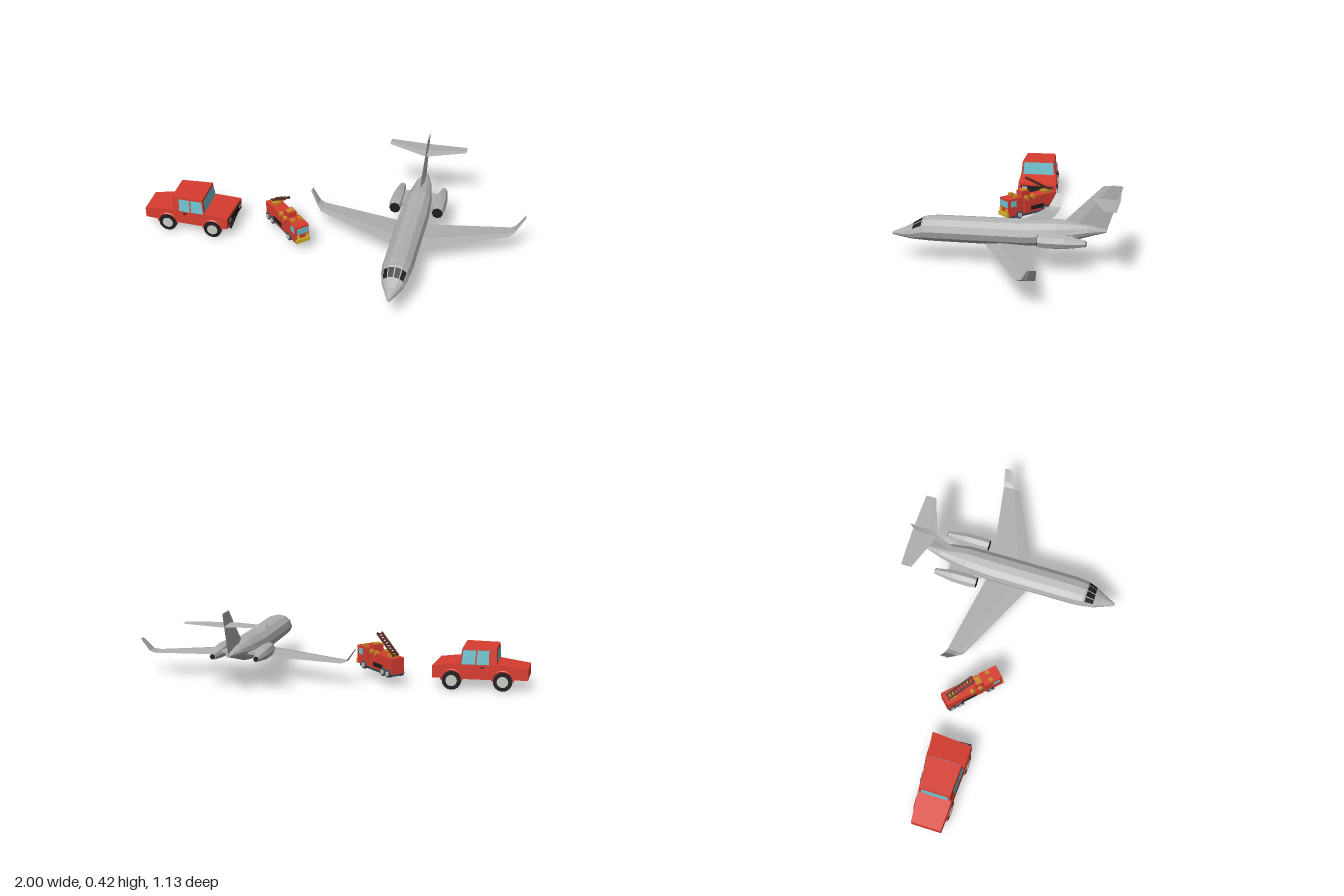
import * as THREE from 'three';

const mat = (name, color, extra = {}) => {
  const m = new THREE.MeshStandardMaterial({ color, flatShading: true, side: THREE.DoubleSide, ...extra });
  m.name = name;
  return m;
};
const V = (x, y, z) => new THREE.Vector3(x, y, z);

export function createModel() {
  const grey = mat('jet grey', 0xb0b0b0), red = mat('red paint', 0xd83c2f), black = mat('black', 0x1c1c1c);
  const glass = mat('teal glass', 0x6fc3d0), hub = mat('hub grey', 0xc8c8c4), orange = mat('orange', 0xc98a22);
  const brown = mat('ladder brown', 0x5c3226), slate = mat('slate tyre', 0x424c58), yellow = mat('yellow', 0xd8b52c);

  const add = (parent, name, geo, material, x = 0, y = 0, z = 0) => {
    const m = new THREE.Mesh(geo, material);
    m.name = name;
    m.position.set(x, y, z);
    parent.add(m);
    return m;
  };
  const group = (parent, name) => {
    const g = new THREE.Group();
    g.name = name;
    parent.add(g);
    return g;
  };
  const box = (parent, name, m, w, h, d, x, y, z) => add(parent, name, new THREE.BoxGeometry(w, h, d), m, x, y, z);

  // Skin a list of rings, cap both ends, and turn the faces outward
  const loft = (rings) => {
    const tris = [], n = rings[0].length;
    for (let i = 0; i < rings.length - 1; i++) {
      for (let j = 0; j < n; j++) {
        const k = (j + 1) % n, a = rings[i][j], b = rings[i][k], c = rings[i + 1][k], d = rings[i + 1][j];
        tris.push([a, b, c], [a, c, d]);
      }
    }
    const first = rings[0], last = rings[rings.length - 1];
    for (let j = 1; j < n - 1; j++) tris.push([first[0], first[j + 1], first[j]], [last[0], last[j], last[j + 1]]);
    const o = first[0];
    const volume = tris.reduce((s, [a, b, c]) =>
      s + a.clone().sub(o).dot(b.clone().sub(o).cross(c.clone().sub(o))), 0);
    const pts = tris.flatMap(([a, b, c]) => (volume > 0 ? [a, b, c] : [a, c, b]));
    const g = new THREE.BufferGeometry().setFromPoints(pts);
    g.computeVertexNormals();
    return g;
  };
  // Thin plate on part of a four-cornered face (corners counter-clockwise from outside)
  const pane = (parent, name, m, [a, b, c, d], u0, u1, v0, v1, lift = 0.003) => {
    const n = b.clone().sub(a).cross(d.clone().sub(a)).normalize().multiplyScalar(lift);
    const at = (u, v) => a.clone().lerp(b, u).lerp(d.clone().lerp(c, u), v).add(n);
    const p = [at(u0, v0), at(u1, v0), at(u1, v1), at(u0, v1)];
    const g = new THREE.BufferGeometry().setFromPoints([p[0], p[1], p[2], p[0], p[2], p[3]]);
    g.computeVertexNormals();
    return add(parent, name, g, m);
  };

  const root = new THREE.Group();
  root.name = 'jet, fire truck and car';

  // ---- Business jet ----
  const jet = group(root, 'jet');
  jet.position.x = 0.425;
  const oval = (z, bottom, top, rx, n = 12) => Array.from({ length: n }, (_, i) => {
    const t = (i / n) * Math.PI * 2;
    return V(Math.cos(t) * rx, (bottom + top) / 2 + Math.sin(t) * (top - bottom) / 2, z);
  });
  const sections = [
    [0.565, 0.13, 0.144, 0.007], [0.5, 0.12, 0.17, 0.037], [0.46, 0.115, 0.192, 0.056], [0.4, 0.111, 0.23, 0.07],
    [0.34, 0.109, 0.237, 0.076], [-0.1, 0.105, 0.237, 0.077], [-0.25, 0.12, 0.243, 0.07],
    [-0.4, 0.165, 0.228, 0.042], [-0.49, 0.19, 0.205, 0.012],
  ].map((s) => oval(...s));
  add(jet, 'fuselage', loft(sections), grey);
  for (let k = 1; k < 5; k++) {
    const f = sections[2], b = sections[3];
    pane(jet, 'cockpitWindow', black, [f[k], b[k], b[k + 1], f[k + 1]].reverse(), 0.08, 0.92, 0.1, 0.9, 0.002);
    pane(jet, 'cockpitWindow', black, [f[k + 1], f[k], b[k], b[k + 1]], 0.08, 0.92, 0.1, 0.85, 0.002);
  }

  // Aerofoil station: lead and trail are z, thickness is along (tx, ty)
  const foil = (x, y, lead, trail, t, tx = 0, ty = 1) => {
    const mid = lead + (trail - lead) * 0.35;
    return [V(x, y, lead), V(x + tx * t, y + ty * t, mid), V(x, y, trail), V(x - tx * t, y - ty * t, mid)];
  };
  for (const s of [-1, 1]) {
    add(jet, 'wing', loft([
      foil(0, 0.118, 0.115, -0.12, 0.012), foil(s * 0.08, 0.118, 0.082, -0.137, 0.01),
      foil(s * 0.5, 0.121, -0.115, -0.206, 0.005),
    ]), grey);
    add(jet, 'winglet', loft([
      foil(s * 0.5, 0.121, -0.115, -0.206, 0.005), foil(s * 0.526, 0.133, -0.148, -0.213, 0.004, -s * 0.7, 0.7),
      foil(s * 0.57, 0.196, -0.183, -0.222, 0.003, -s, 0.3),
    ]), grey);
    add(jet, 'tailplane', loft([
      foil(0, 0.353, -0.42, -0.555, 0.007), foil(s * 0.207, 0.361, -0.492, -0.548, 0.003),
    ]), grey);
    // Engine with dark intake and exhaust
    const engine = group(jet, 'engine');
    engine.position.x = s * 0.113;
    add(engine, 'nacelle', loft([
      oval(-0.17, 0.14, 0.204, 0.031, 8), oval(-0.21, 0.134, 0.208, 0.036, 8),
      oval(-0.3, 0.136, 0.204, 0.034, 8), oval(-0.4, 0.15, 0.184, 0.017, 8),
    ]), grey);
    add(engine, 'intake', loft([oval(-0.168, 0.142, 0.202, 0.029, 8), oval(-0.172, 0.142, 0.202, 0.029, 8)]), black);
    add(engine, 'exhaust', loft([oval(-0.399, 0.154, 0.18, 0.013, 8), oval(-0.402, 0.154, 0.18, 0.013, 8)]), black);
    box(jet, 'enginePylon', grey, 0.06, 0.012, 0.13, s * 0.07, 0.178, -0.27);
  }
  const finRow = (y, lead, trail, t) => foil(0, y, lead, trail, t, 1, 0);
  add(jet, 'tailFin', loft([finRow(0.195, -0.24, -0.49, 0.012), finRow(0.243, -0.29, -0.505, 0.009),
    finRow(0.422, -0.47, -0.565, 0.004)]), grey);

  // Wheel with its axle along z
  const wheel = (parent, r, w, x, y, z, tyre) => {
    const g = group(parent, 'wheel');
    g.position.set(x, y, z);
    add(g, 'tyre', new THREE.CylinderGeometry(r, r, w, 16).rotateX(Math.PI / 2), tyre);
    add(g, 'hubcap', new THREE.CylinderGeometry(r * 0.6, r * 0.6, w + 0.006, 12).rotateX(Math.PI / 2), hub);
  };

  // ---- Red car, nose towards +x, slightly tapered to the rear ----
  const car = group(root, 'car');
  const slab = (x, z0, z1, y0, y1, skew = 0) => [
    V(x + skew, y0, z0), V(x, y0, z1), V(x, y1, z1), V(x + skew, y1, z0)];
  const carRings = [
    slab(-1, -0.095, 0.062, 0.06, 0.115), slab(-0.843, -0.108, 0.069, 0.056, 0.135),
    slab(-0.665, -0.122, 0.077, 0.056, 0.139), slab(-0.54, -0.137, 0.077, 0.06, 0.122, 0.014),
  ];
  add(car, 'carBody', loft(carRings), red);
  const base = [V(-0.845, 0.13, -0.106), V(-0.845, 0.13, 0.068), V(-0.665, 0.13, 0.075), V(-0.665, 0.13, -0.12)];
  const roof = [V(-0.842, 0.215, -0.1), V(-0.842, 0.215, 0.062), V(-0.674, 0.215, 0.068), V(-0.674, 0.215, -0.112)];
  add(car, 'cabin', loft([base, roof]), red);
  const side = (i) => [base[i], base[(i + 1) % 4], roof[(i + 1) % 4], roof[i]];
  pane(car, 'rearWindow', glass, side(0), 0.08, 0.92, 0.12, 0.86);
  pane(car, 'windshield', glass, side(2), 0.05, 0.95, 0.1, 0.9);
  for (const [a, b] of [[0.22, 0.56], [0.6, 0.97]]) {
    pane(car, 'sideWindow', glass, side(1), a, b, 0.02, 0.86);
    pane(car, 'sideWindow', glass, side(3), 1 - b, 1 - a, 0.02, 0.86);
  }
  const [fr, fl, flt, frt] = carRings[3];
  const nose = [fl, fr, frt, flt];
  pane(car, 'grille', black, nose, 0.08, 0.92, 0.2, 0.8);
  for (const u of [0.1, 0.76]) pane(car, 'headlight', hub, nose, u, u + 0.14, 0.4, 0.72, 0.005);
  const bumper = box(car, 'frontBumper', black, 0.01, 0.012, 0.2, -0.53, 0.07, -0.03);
  bumper.rotation.y = 0.065;
  for (const [x, z0, z1] of [[-0.875, -0.096, 0.059], [-0.622, -0.118, 0.069]]) {
    for (const z of [z0, z1]) {
      wheel(car, 0.048, 0.028, x, 0.048, z, black);
      const s = z > 0 ? 1 : -1;
      // Wheel arch
      add(car, 'wheelArch', new THREE.TorusGeometry(0.052, 0.005, 4, 14, Math.PI), red, x, 0.05, z + s * 0.01);
    }
  }
  for (const z of [-0.115, 0.074]) box(car, 'doorHandle', black, 0.018, 0.005, 0.008, -0.775, 0.118, z);

  // ---- Fire truck, nose towards its local +x ----
  const truck = group(root, 'fire truck');
  truck.position.set(-0.237, 0, -0.02);
  truck.rotation.y = -Math.PI / 4;
  box(truck, 'chassis', slate, 0.29, 0.02, 0.06, 0, 0.06, 0);
  box(truck, 'rearBody', red, 0.21, 0.082, 0.075, -0.055, 0.106, 0);
  box(truck, 'cab', red, 0.1, 0.095, 0.077, 0.11, 0.112, 0);
  box(truck, 'frontBumper', yellow, 0.012, 0.024, 0.078, 0.163, 0.075, 0);
  box(truck, 'windshield', glass, 0.006, 0.034, 0.066, 0.16, 0.131, 0);
  for (const s of [-1, 1]) {
    box(truck, 'cabWindow', glass, 0.036, 0.032, 0.005, 0.125, 0.132, s * 0.038);
    box(truck, 'sidePanel', black, 0.085, 0.022, 0.004, -0.035, 0.088, s * 0.038);
    box(truck, 'headlight', yellow, 0.008, 0.014, 0.016, 0.162, 0.1, s * 0.026);
    box(truck, 'beacon', orange, 0.02, 0.016, 0.02, 0.1, 0.167, s * 0.022);
    for (const x of [0.09, -0.088, -0.133]) wheel(truck, 0.021, 0.018, x, 0.067, s * 0.036, slate);
    for (const x of [-0.01, 0.035]) {
      add(truck, 'equipmentDrum', new THREE.CylinderGeometry(0.013, 0.013, 0.02, 10).rotateX(Math.PI / 2),
        orange, x, 0.148, s * 0.03);
    }
  }
  box(truck, 'roofLocker', red, 0.05, 0.04, 0.05, 0.035, 0.165, 0);
  box(truck, 'lockerLid', orange, 0.03, 0.006, 0.04, 0.035, 0.187, 0);
  box(truck, 'turntable', orange, 0.04, 0.015, 0.045, -0.115, 0.152, 0);

  // Raised ladder
  const ladder = group(truck, 'ladder');
  ladder.position.set(-0.14, 0.158, 0);
  ladder.rotation.z = 0.54;
  for (const z of [-0.014, 0.014]) box(ladder, 'ladderRail', brown, 0.175, 0.012, 0.007, 0.085, 0, z);
  for (let i = 0; i < 9; i++) box(ladder, 'ladderRung', brown, 0.007, 0.006, 0.028, 0.005 + i * 0.02, 0, 0);

  return root;
}
